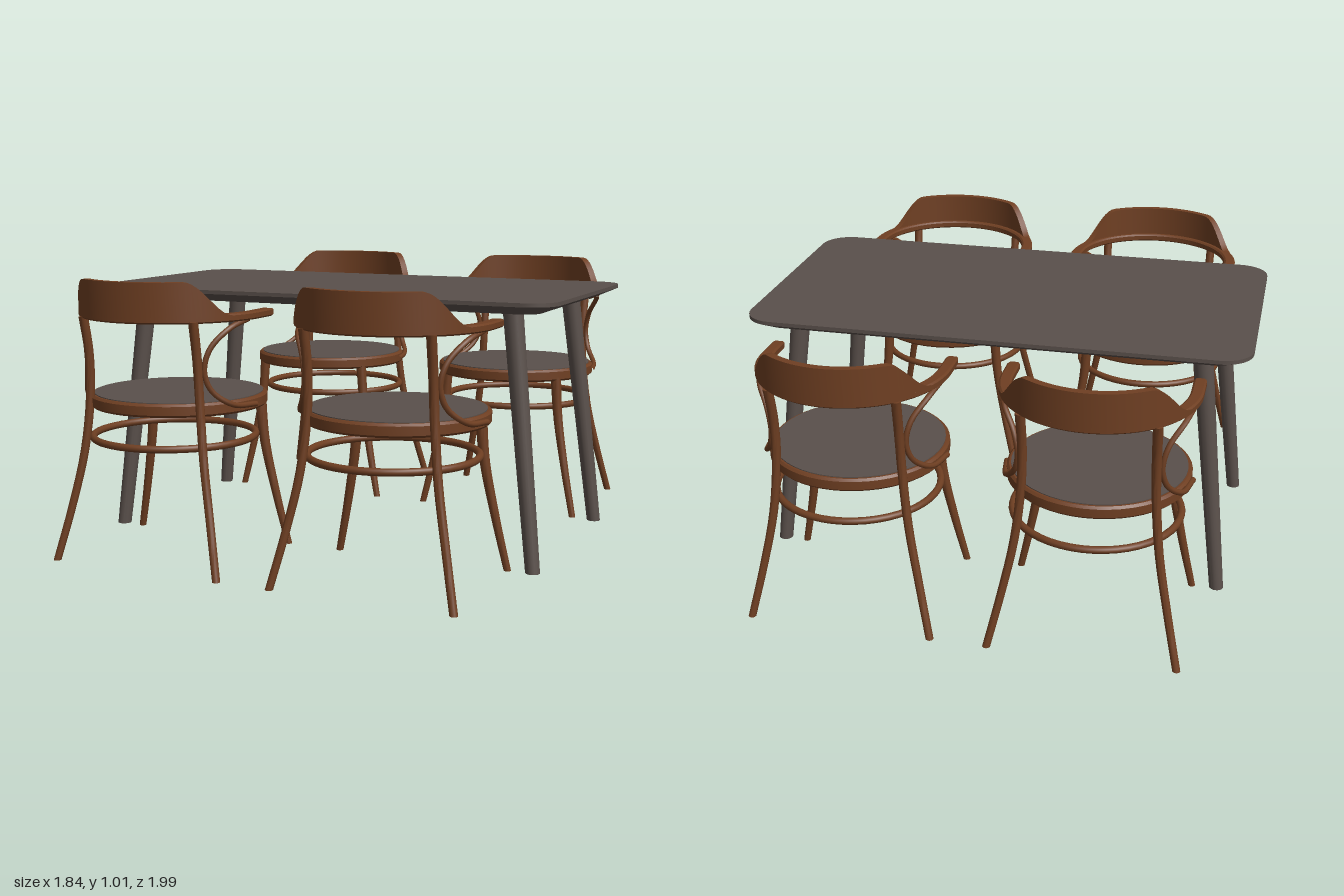
import * as THREE from 'three';
import { toCreasedNormals } from 'three/addons/utils/BufferGeometryUtils.js';

const wood = new THREE.MeshStandardMaterial({ color: 0x6f3f22 });
wood.name = 'bentwood brown';
const slate = new THREE.MeshStandardMaterial({ color: 0x5a504b });
slate.name = 'warm grey';

function mesh(name, geometry, material, parent) {
  const m = new THREE.Mesh(geometry, material);
  m.name = name;
  parent.add(m);
  return m;
}

// Skins a list of equal-length closed cross-sections and caps both ends
function loft(sections, crease = 0.6) {
  const n = sections[0].length, last = (sections.length - 1) * n, index = [];
  for (let i = 0; i < sections.length - 1; i++) {
    for (let j = 0; j < n; j++) {
      const a = i * n + j, b = i * n + (j + 1) % n;
      index.push(a, a + n, b, b, a + n, b + n);
    }
  }
  for (let j = 1; j < n - 1; j++) {
    index.push(0, j, j + 1, last, last + j + 1, last + j);
  }
  const g = new THREE.BufferGeometry();
  g.setAttribute('position', new THREE.Float32BufferAttribute(sections.flat(2), 3));
  g.setIndex(index);
  return toCreasedNormals(g, crease);
}

const curve = (points, side = 1) =>
  new THREE.CatmullRomCurve3(points.map(([x, y, z]) => new THREE.Vector3(x * side, y, z)));

// Tapered upright leg made of horizontal rings along a curve
function leg(path, r0, r1, steps, sides = 14) {
  const sections = [];
  for (let i = 0; i <= steps; i++) {
    const t = i / steps, p = path.getPoint(t), r = r0 + (r1 - r0) * t;
    sections.push(Array.from({ length: sides }, (_, j) => {
      const a = j / sides * Math.PI * 2;
      return [p.x + r * Math.cos(a), p.y, p.z + r * Math.sin(a)];
    }));
  }
  return loft(sections);
}

// Rounded rectangle ring at height y
function roundedRing(w, d, r, y) {
  const ring = [];
  [[1, 1], [-1, 1], [-1, -1], [1, -1]].forEach(([sx, sz], q) => {
    for (let i = 0; i <= 8; i++) {
      const a = (q + i / 8) * Math.PI / 2;
      ring.push([sx * (w - r) + r * Math.cos(a), y, sz * (d - r) + r * Math.sin(a)]);
    }
  });
  return ring;
}

function createTable() {
  const table = new THREE.Group();
  table.name = 'table';
  mesh('tableTop', loft([
    roundedRing(0.85, 0.44, 0.06, 0.906),
    roundedRing(0.92, 0.497, 0.11, 0.936),
    roundedRing(0.92, 0.497, 0.11, 0.95),
  ], 0.4), slate, table);
  for (const sx of [1, -1]) {
    for (const sz of [1, -1]) {
      const path = curve([[0.847 * sx, 0, 0.405 * sz], [0.742 * sx, 0.915, 0.355 * sz]]);
      mesh('tableLeg', leg(path, 0.026, 0.036, 1, 20), slate, table);
    }
  }
  return table;
}

// Chair with its back towards +z; z positions are in table space
function createChair() {
  const chair = new THREE.Group();
  chair.name = 'chair';
  const seatZ = 0.638, backZ = 0.65;

  // Seat hoop, hollow below, with a thin panel near the top
  const hoop = [[0.288, 0.548], [0.312, 0.548], [0.32, 0.556], [0.32, 0.587], [0.312, 0.595], [0.288, 0.595], [0.288, 0.548]];
  const hoopGeometry = new THREE.LatheGeometry(hoop.map(p => new THREE.Vector2(...p)), 48);
  mesh('seatHoop', toCreasedNormals(hoopGeometry, 0.6), wood, chair).position.z = seatZ;
  mesh('seatBase', new THREE.CylinderGeometry(0.292, 0.292, 0.012, 48), wood, chair).position.set(0, 0.585, seatZ);
  mesh('seatPanel', new THREE.CylinderGeometry(0.305, 0.305, 0.006, 48), slate, chair).position.set(0, 0.595, seatZ);

  // Stretcher ring
  const ring = mesh('stretcherRing', new THREE.TorusGeometry(0.293, 0.013, 10, 48), wood, chair);
  ring.rotation.x = Math.PI / 2;
  ring.position.set(0, 0.44, 0.673);

  // Arm rail: half circle with short straight ends
  const railSection = (phi, forward, k) =>
    [[-1, -0.6], [-0.7, -1], [0.7, -1], [1, -0.6], [1, 0.6], [0.7, 1], [-0.7, 1], [-1, 0.6]].map(([u, v]) => {
      const r = 0.322 + 0.022 * k * u;
      return [r * Math.sin(phi), 0.888 + 0.014 * k * v, backZ + r * Math.cos(phi) - forward];
    });
  const rail = [];
  for (let i = 0; i <= 40; i++) rail.push(railSection((i / 40 - 0.5) * Math.PI, 0, 1));
  for (const [forward, k] of [[0.095, 1], [0.108, 0.85]]) {
    rail.unshift(railSection(-Math.PI / 2, forward, k));
    rail.push(railSection(Math.PI / 2, forward, k));
  }
  mesh('armRail', loft(rail), wood, chair);

  // Curved backrest whose ends sweep down to the rail
  const back = [];
  for (let i = 0; i <= 48; i++) {
    const phi = (i / 24 - 1) * 1.15;
    const t = THREE.MathUtils.smoothstep(Math.abs(phi), 0.64, 1.15);
    const top = 1.015 - 0.117 * t;
    back.push([[0.318, 0.89], [0.344, 0.89], [0.344, top], [0.318, top]].map(([r, y]) =>
      [r * Math.sin(phi), y, backZ + r * Math.cos(phi)]));
  }
  mesh('backrest', loft(back, 0.5), wood, chair);

  for (const side of [1, -1]) {
    mesh('backLeg', leg(curve([
      [0.33, 0, 0.957], [0.285, 0.2, 0.916], [0.246, 0.4, 0.885],
      [0.226, 0.6, 0.87], [0.222, 0.75, 0.876], [0.224, 0.88, 0.9],
    ], side), 0.014, 0.017, 20), wood, chair);
    mesh('frontLeg', leg(curve([
      [0.325, 0, 0.412], [0.282, 0.2, 0.43], [0.246, 0.4, 0.446], [0.232, 0.57, 0.45],
    ], side), 0.013, 0.021, 14), wood, chair);
    // C-shaped brace between arm and seat
    mesh('armBrace', new THREE.TubeGeometry(curve([
      [0.325, 0.878, 0.7], [0.3, 0.85, 0.79], [0.256, 0.785, 0.845], [0.24, 0.71, 0.86],
      [0.256, 0.64, 0.842], [0.3, 0.585, 0.775], [0.325, 0.57, 0.65],
    ], side), 32, 0.01, 8), wood, chair);
  }
  return chair;
}

export function createModel() {
  const model = new THREE.Group();
  model.name = 'diningSet';
  model.add(createTable());
  for (const x of [0.432, -0.432]) {
    for (const turn of [0, Math.PI]) {
      const chair = createChair();
      chair.position.x = x;
      chair.rotation.y = turn;
      model.add(chair);
    }
  }
  return model;
}
